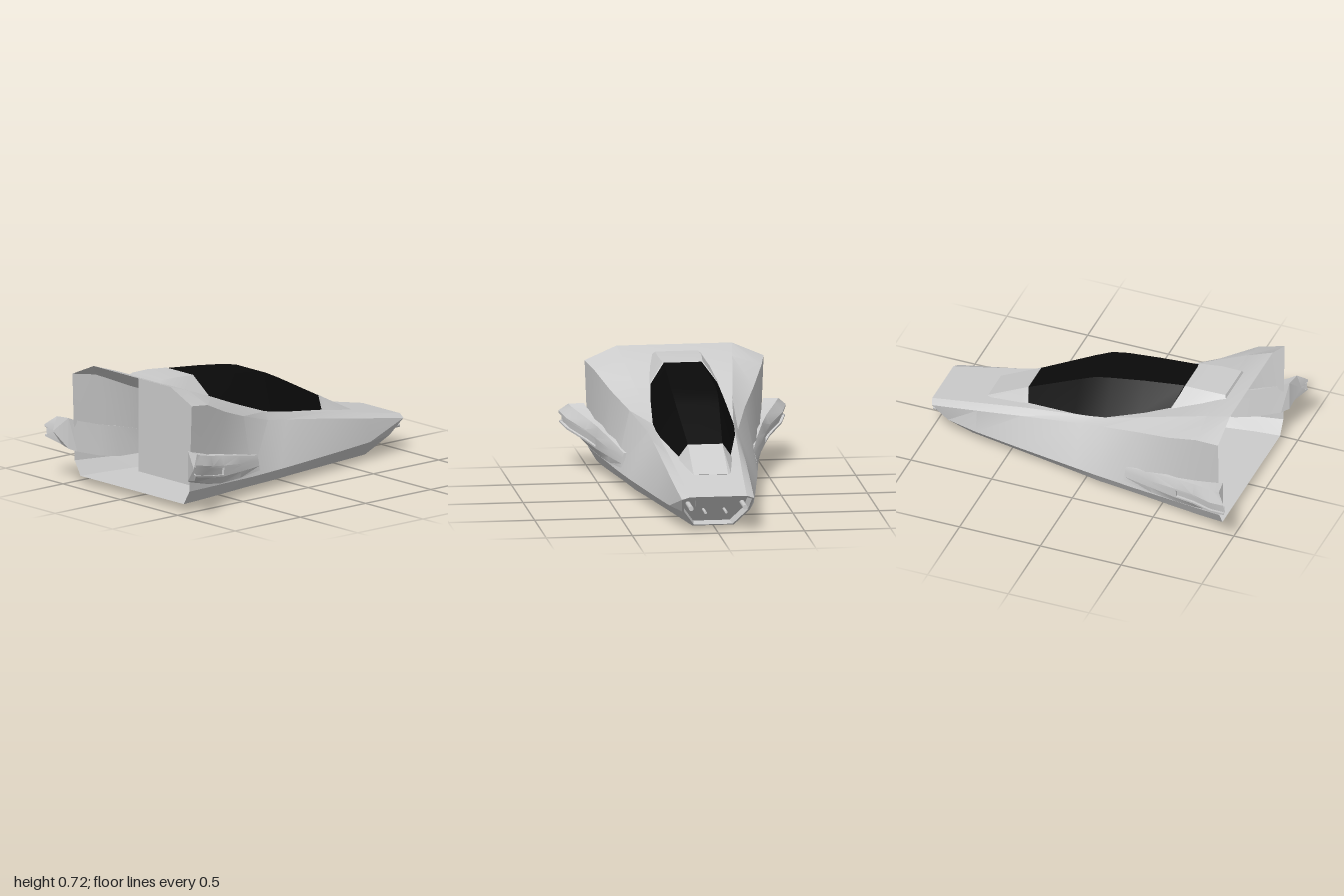
import * as THREE from 'three';
import { toCreasedNormals } from 'three/addons/utils/BufferGeometryUtils.js';

const grey = new THREE.MeshStandardMaterial({ color: 0xcccccc, side: THREE.DoubleSide });
const black = new THREE.MeshStandardMaterial({ color: 0x0a0a0a, side: THREE.DoubleSide });

// Skin a list of closed rings of [x, y, z]; optionally close either end with a fan.
function loft(name, rings, material, capStart, capEnd, crease = 0.33) {
  const n = rings[0].length;
  const pos = rings.flat(2);
  const index = [];
  for (let i = 0; i < rings.length - 1; i++) {
    for (let j = 0; j < n; j++) {
      const k = (j + 1) % n;
      const a = i * n + j, b = a + n, c = (i + 1) * n + k, d = i * n + k;
      index.push(a, b, c, a, c, d);
    }
  }
  const cap = (i, flip) => {
    const centre = pos.length / 3;
    for (let m = 0; m < 3; m++) pos.push(rings[i].reduce((s, p) => s + p[m], 0) / n);
    for (let j = 0; j < n; j++) {
      const a = i * n + j, b = i * n + ((j + 1) % n);
      if (flip) index.push(centre, b, a); else index.push(centre, a, b);
    }
  };
  if (capStart) cap(0, true);
  if (capEnd) cap(rings.length - 1, false);
  const g = new THREE.BufferGeometry();
  g.setAttribute('position', new THREE.Float32BufferAttribute(pos, 3));
  g.setIndex(index);
  const mesh = new THREE.Mesh(toCreasedNormals(g, crease), material);
  mesh.name = name;
  return mesh;
}

// Half section (+z side, bottom to top) to a full symmetric ring
const mirrorRing = half => [...half, ...half.map(([x, y, z]) => [x, y, -z]).reverse()];

// Hull station: bottom, chine, shoulder and roof edge, each [z, y]
const station = (x, ...pts) => mirrorRing(pts.map(([z, y]) => [x, y, z]));

// Canopy section: base and top edge
const hood = (xBase, yBase, zBase, xTop, yTop, zTop) =>
  mirrorRing([[xBase, yBase, zBase], [xTop, yTop, zTop]]);

function rod(name, x0, x1, y, z, r) {
  const m = new THREE.Mesh(new THREE.CylinderGeometry(r, r, x1 - x0, 12), grey);
  m.rotation.z = -Math.PI / 2;
  m.position.set((x0 + x1) / 2, y, z);
  m.name = name;
  return m;
}

// Wing section: six outline points [x, y, z], with a groove cut in the outer face
function wingRing(p, depth) {
  const [iB, oB, sB, sT, oT, iT] = p;
  const at = (t, d) => sB.map((v, m) => v + (sT[m] - v) * t - (m === 2 ? d : 0));
  return [iB, oB, sB, at(0.15, 0), at(0.15, depth), at(0.8, depth), at(0.8, 0), sT, oT, iT];
}

export function createModel() {
  const model = new THREE.Group();
  model.name = 'spacecraft';

  // Hull shell, open at the rear
  const nose = mirrorRing([
    [0.77, 0.005, 0.12], [0.89, 0.115, 0.197], [0.985, 0.203, 0.21], [1, 0.22, 0.165],
  ]);
  const inset = (s, dx) => nose.map(([x, y, z]) =>
    [0.895 + (x - 0.895) * s + dx, 0.12 + (y - 0.12) * s, z * s]);
  const hull = [
    station(-0.91, [0.45, 0.047], [0.5, 0.13], [0.52, 0.64], [0.335, 0.72]),
    station(-0.76, [0.435, 0.047], [0.478, 0.125], [0.488, 0.617], [0.317, 0.672]),
    station(-0.56, [0.405, 0.046], [0.446, 0.118], [0.415, 0.53], [0.293, 0.598]),
    station(-0.35, [0.37, 0.044], [0.412, 0.11], [0.335, 0.455], [0.262, 0.515]),
    station(-0.1, [0.333, 0.04], [0.375, 0.108], [0.262, 0.378], [0.235, 0.425]),
    station(0.05, [0.297, 0.036], [0.351, 0.108], [0.252, 0.355], [0.225, 0.396]),
    station(0.42, [0.205, 0.02], [0.292, 0.11], [0.238, 0.298], [0.2, 0.333]),
    station(0.7, [0.137, 0.008], [0.245, 0.113], [0.225, 0.25], [0.182, 0.277]),
    nose,
    inset(0.94, 0),
    inset(0.88, -0.09),
  ];
  model.add(loft('hull', hull, grey, false, true));

  // Cabin block inside the hollow tail, standing on the floor under the flat roof
  model.add(loft('rearBulkhead', [
    hood(-0.6, 0.052, 0.297, -0.6, 0.608, 0.297),
    hood(-0.35, 0.052, 0.26, -0.35, 0.51, 0.26),
    hood(-0.12, 0.052, 0.235, -0.12, 0.425, 0.235),
  ], grey, true, true));

  // Canopy glass with the fairings before and behind it
  const rearEdge = hood(-0.49, 0.575, 0.195, -0.54, 0.69, 0.11);
  const frontEdge = hood(0.41, 0.325, 0.155, 0.43, 0.408, 0.1);
  model.add(loft('canopyGlass', [
    rearEdge,
    hood(-0.3, 0.495, 0.218, -0.3, 0.665, 0.12),
    hood(-0.1, 0.42, 0.235, -0.1, 0.638, 0.13),
    hood(0, 0.402, 0.23, 0, 0.618, 0.13),
    hood(0.1, 0.385, 0.218, 0.1, 0.572, 0.125),
    frontEdge,
  ], black, true, true));
  model.add(loft('rearFairing', [
    hood(-0.81, 0.682, 0.145, -0.8, 0.702, 0.125),
    hood(-0.67, 0.632, 0.178, -0.68, 0.702, 0.128),
    hood(-0.495, 0.574, 0.2, -0.545, 0.692, 0.116),
  ], grey, true, true));
  model.add(loft('frontFairing', [
    frontEdge.map(([x, y, z]) => [x, y + 0.002, z * 1.02]),
    hood(0.46, 0.322, 0.154, 0.46, 0.394, 0.1),
    hood(0.67, 0.277, 0.12, 0.68, 0.284, 0.1),
  ], grey, true, true));

  // Nose recess: instrument panel and paired guns
  const panelShape = new THREE.Shape([[-0.12, 0.2], [0.12, 0.2], [0.105, 0.118], [-0.105, 0.118]]
    .map(([z, y]) => new THREE.Vector2(z, y)));
  const panel = new THREE.Mesh(
    new THREE.ExtrudeGeometry(panelShape, { depth: 0.02, bevelEnabled: false }), grey);
  panel.geometry.rotateY(Math.PI / 2);
  // lean the panel parallel to the raked nose
  const pp = panel.geometry.attributes.position;
  for (let i = 0; i < pp.count; i++) {
    pp.setX(i, pp.getX(i) + 0.8 + (pp.getY(i) - 0.12) * 1.07);
  }
  panel.geometry.computeVertexNormals();
  panel.name = 'nosePanel';
  model.add(panel);
  for (const s of [1, -1]) {
    model.add(rod('upperGun', 0.8, 0.995, 0.152, s * 0.157, 0.014));
    model.add(rod('lowerGun', 0.76, 0.89, 0.104, s * 0.06, 0.008));
  }

  // Swept side wings, rear to front, melting into the hull side at the front
  const flat = (x, ...pts) => pts.map(([z, y]) => [x, y, z]);
  const rootCut = flat(-0.64,
    [0.42, 0.125], [0.468, 0.13], [0.492, 0.175], [0.495, 0.24], [0.475, 0.297], [0.44, 0.3]);
  const wingRings = [
    wingRing([[-0.94, 0.2, 0.52], [-0.94, 0.215, 0.58], [-1, 0.26, 0.655],
      [-1, 0.33, 0.66], [-0.95, 0.378, 0.61], [-0.94, 0.382, 0.52]], 0.015),
    wingRing(flat(-0.9, [0.49, 0.182], [0.56, 0.198], [0.622, 0.235],
      [0.63, 0.306], [0.585, 0.36], [0.51, 0.364]), 0.015),
    wingRing(flat(-0.76, [0.45, 0.143], [0.507, 0.153], [0.536, 0.196],
      [0.54, 0.263], [0.515, 0.32], [0.465, 0.325]), 0.015),
    wingRing(rootCut, 0.015),
    wingRing(rootCut.map(([x, y, z]) => [x + 0.002, y, z]), 0),
    wingRing(flat(-0.46, [0.4, 0.125], [0.432, 0.125], [0.442, 0.165],
      [0.441, 0.21], [0.422, 0.257], [0.39, 0.26]), 0),
    wingRing(flat(-0.28, [0.37, 0.135], [0.397, 0.135], [0.393, 0.16],
      [0.386, 0.19], [0.376, 0.22], [0.355, 0.222]), 0),
  ];
  for (const s of [1, -1]) {
    const wing = loft('sideWing', wingRings, grey, true, true, 0.4);
    wing.scale.z = s;
    model.add(wing);
  }
  return model;
}
